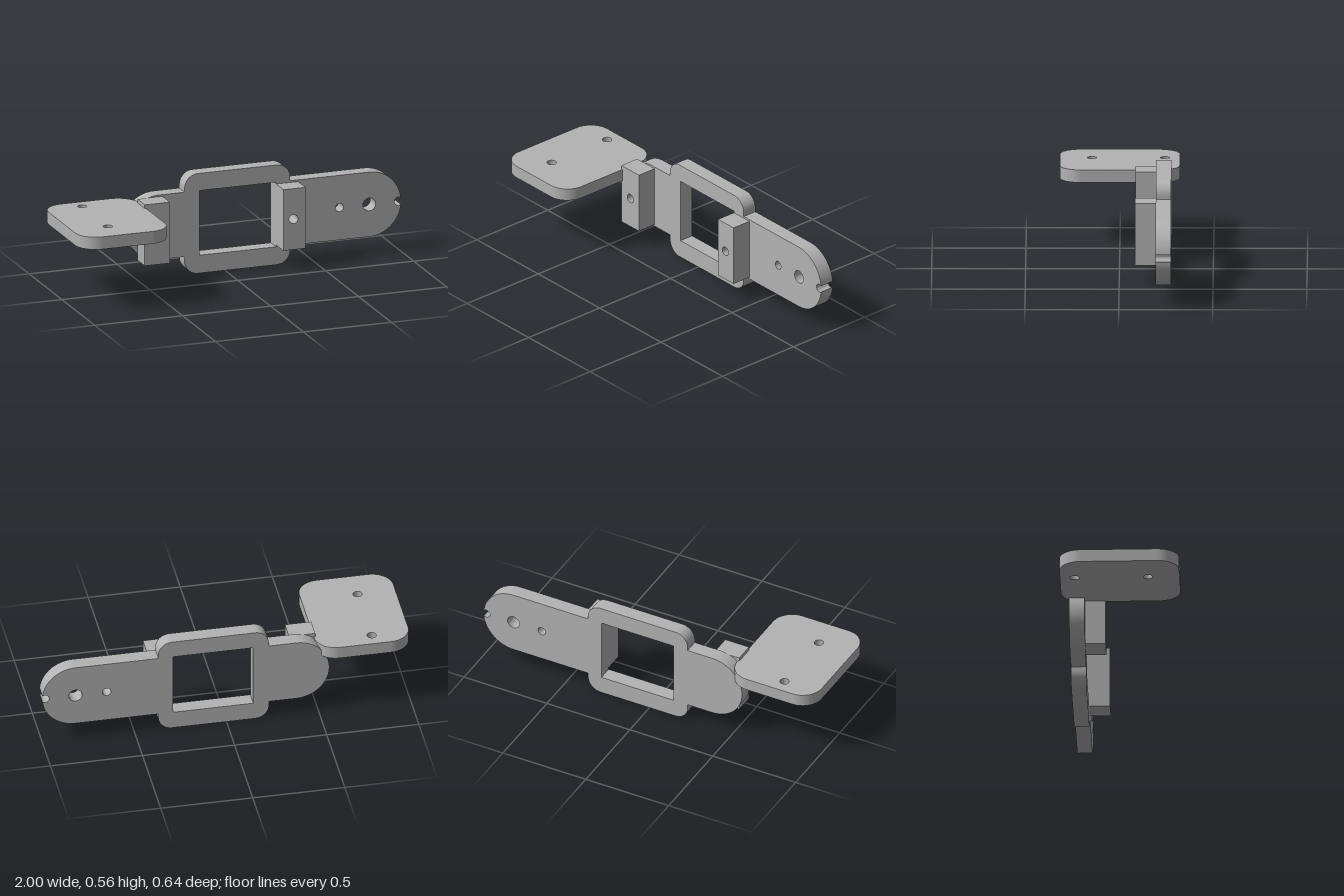
import * as THREE from 'three';
import { toCreasedNormals } from 'three/addons/utils/BufferGeometryUtils.js';

const MID = 0.28; // height of the bracket's centre line

function circleHole(x, y, r) {
  const path = new THREE.Path();
  path.absarc(x, y, r, 0, Math.PI * 2, true);
  return path;
}

function rectShape(x0, y0, x1, y1) {
  return new THREE.Shape([[x0, y0], [x1, y0], [x1, y1], [x0, y1]].map(p => new THREE.Vector2(...p)));
}

function extrude(shape, depth) {
  const geo = new THREE.ExtrudeGeometry(shape, { depth, bevelEnabled: false, curveSegments: 24 });
  return toCreasedNormals(geo, 0.6);
}

// Upright arm: rounded ends, wider frame in the middle, notch at the left tip
function armShape() {
  const H = Math.PI / 2, R = 0.18, c = 0.075;
  const x0 = -0.23, x1 = 0.37, top = 0.556, low = MID - R, high = MID + R;
  const tip = 0.82, notchX = 0.985, notchR = 0.023;
  // where the notch circle meets the rounded tip
  const d = notchX - tip;
  const a = (d * d + R * R - notchR * notchR) / (2 * d);
  const h = Math.sqrt(R * R - a * a);
  const tipAngle = Math.atan2(h, a);
  const notchAngle = Math.atan2(h, a - d);

  const s = new THREE.Shape();
  s.moveTo(x0, low);
  s.lineTo(x0, c);
  s.absarc(x0 + c, c, c, Math.PI, 3 * H, false);
  s.absarc(x1 - c, c, c, -H, 0, false);
  s.lineTo(x1, low);
  s.absarc(tip, MID, R, -H, -tipAngle, false);
  s.absarc(notchX, MID, notchR, -notchAngle, notchAngle - 2 * Math.PI, true);
  s.absarc(tip, MID, R, tipAngle, H, false);
  s.lineTo(x1, high);
  s.absarc(x1 - c, top - c, c, 0, H, false);
  s.absarc(x0 + c, top - c, c, H, Math.PI, false);
  s.lineTo(x0, high);
  s.absarc(-0.378, MID, R, H, 3 * H, false);
  s.closePath();

  const window = new THREE.Path([[-0.145, 0.1], [-0.145, 0.46], [0.29, 0.46], [0.29, 0.1]].map(p => new THREE.Vector2(...p)));
  s.holes.push(window, circleHole(0.65, MID, 0.023), circleHole(tip, MID, 0.036));
  return s;
}

// Rounded rectangle with two screw holes, drawn with y = -z
function platformShape() {
  const H = Math.PI / 2, x0 = -1, x1 = -0.49, z = 0.319, r = 0.115;
  const s = new THREE.Shape();
  s.absarc(x1 - r, -z + r, r, -H, 0, false);
  s.absarc(x1 - r, z - r, r, 0, H, false);
  s.absarc(x0 + r, z - r, r, H, Math.PI, false);
  s.absarc(x0 + r, -z + r, r, Math.PI, 3 * H, false);
  s.closePath();
  s.holes.push(circleHole(-0.795, 0.24, 0.025), circleHole(-0.795, -0.15, 0.025));
  return s;
}

export function createModel() {
  const model = new THREE.Group();
  model.name = 'servoBracket';
  const grey = new THREE.MeshStandardMaterial({ color: 0xb3b3b3 });
  grey.name = 'grey';

  const add = (name, geo) => {
    const mesh = new THREE.Mesh(geo, grey);
    mesh.name = name;
    model.add(mesh);
  };

  add('arm', extrude(armShape(), 0.082).translate(0, 0, -0.277));

  // Mounting blocks in front of the arm, drilled down to its face
  for (const [name, x0, x1, holeX] of [
    ['rightBlock', -0.498, -0.355, -0.425],
    ['leftBlock', 0.29, 0.416, 0.348],
  ]) {
    const block = rectShape(x0, 0.11, x1, 0.45);
    block.holes.push(circleHole(holeX, MID, 0.025));
    add(name, extrude(block, 0.111).translate(0, 0, -0.195));
  }

  // Horizontal platform at the right end
  add('platform', extrude(platformShape(), 0.069).rotateX(-Math.PI / 2).translate(0, 0.36, 0));

  return model;
}
